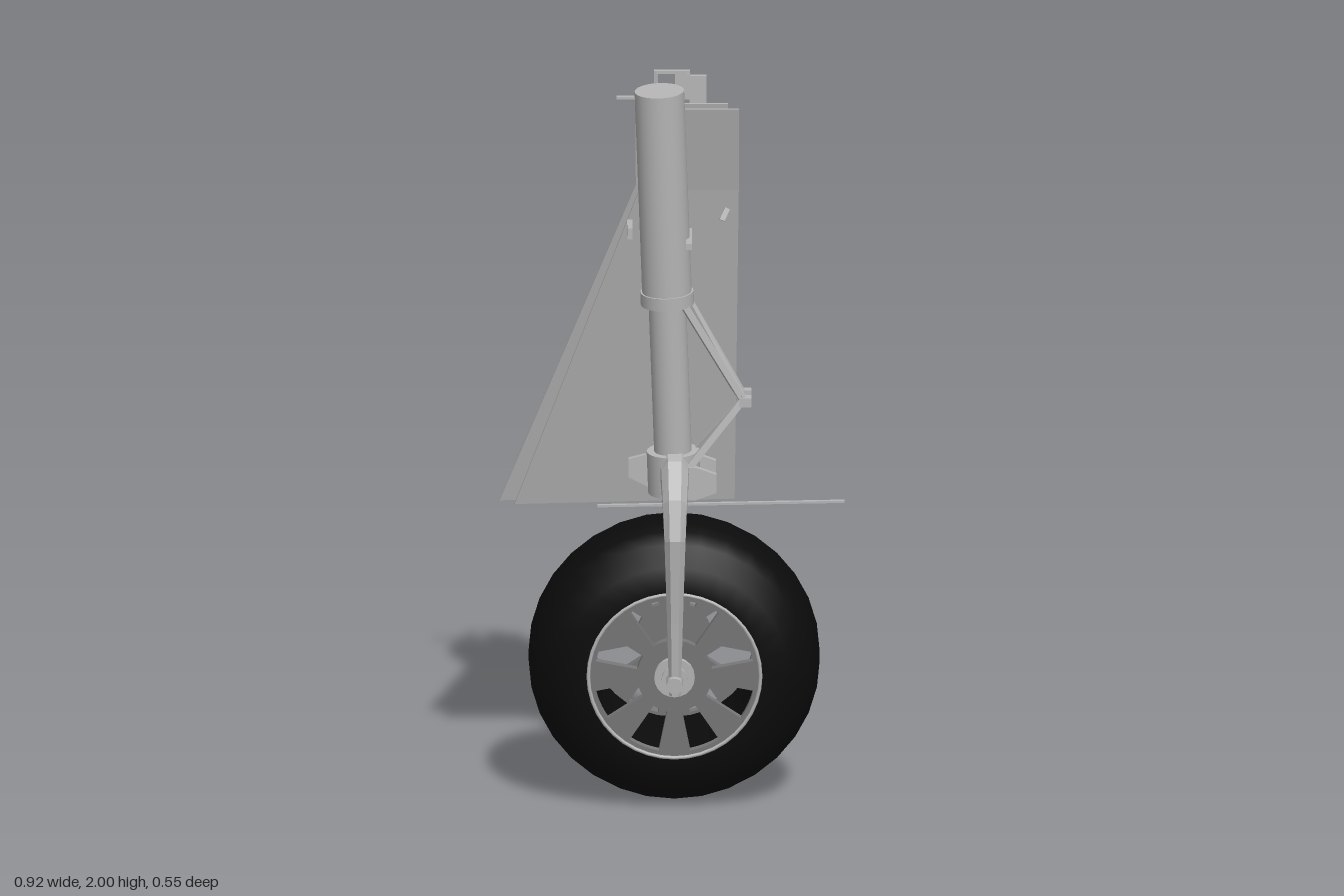
import * as THREE from 'three';

const V = (x, y, z) => new THREE.Vector3(x, y, z);
const mat = (name, color, side = THREE.FrontSide) => {
  const m = new THREE.MeshStandardMaterial({ color, side });
  m.name = name;
  return m;
};

export function createModel() {
  const metal = mat('light grey metal', 0xb6b6b6, THREE.DoubleSide);
  const spoke = mat('dark grey rim', 0x787878);
  const rubber = mat('black rubber', 0x0b0b0b, THREE.DoubleSide);
  const root = new THREE.Group();
  root.name = 'landingGear';

  const add = (name, geo, m = metal, parent = root) => {
    const mesh = new THREE.Mesh(geo, m);
    mesh.name = name;
    parent.add(mesh);
    return mesh;
  };
  const span = (mesh, a, b) => {
    mesh.position.copy(a).lerp(b, 0.5);
    mesh.quaternion.setFromUnitVectors(V(0, 1, 0), b.clone().sub(a).normalize());
    return mesh;
  };
  const rod = (name, a, b, r, r2 = r, seg = 24) =>
    span(add(name, new THREE.CylinderGeometry(r2, r, a.distanceTo(b), seg)), a, b);
  const bar = (name, a, b, w, d = w) =>
    span(add(name, new THREE.BoxGeometry(w, a.distanceTo(b), d)), a, b);
  const box = (name, w, h, d, x, y, z) =>
    add(name, new THREE.BoxGeometry(w, h, d)).position.set(x, y, z);
  const outline = pts => new THREE.Shape(pts.map(p => new THREE.Vector2(...p)));

  // Main strut, leaning slightly: axis point at a given height
  const axis = y => {
    const t = (1.985 - y) / 1.105;
    return V(-0.037 + 0.04 * t, y, 0.116 - 0.054 * t);
  };
  rod('upperStrut', axis(1.41), axis(1.985), 0.066);
  rod('lowerStrut', axis(0.88), axis(1.42), 0.05);
  rod('strutCollar', axis(1.39), axis(1.425), 0.071);
  rod('forkCollar', axis(0.865), axis(0.98), 0.07);

  // Lugs on the fork collar
  const lug = (name, pts, z) => {
    const g = new THREE.ExtrudeGeometry(outline(pts), { depth: 0.02, bevelEnabled: false });
    add(name, g).position.z = z;
  };
  lug('rearLug', [[-0.06, 0.855], [0.06, 0.855], [0.115, 0.88], [0.115, 0.93], [0.06, 0.95], [-0.06, 0.95], [-0.118, 0.935], [-0.118, 0.885]], -0.025);
  lug('frontLug', [[0, 0.86], [0.06, 0.86], [0.115, 0.88], [0.115, 0.93], [0.06, 0.95], [0, 0.95]], 0.115);

  // Small side brackets
  bar('rightBracket', V(-0.115, 1.585, 0.01), V(-0.115, 1.585, 0.098), 0.014, 0.03);
  bar('leftBracket', V(0.042, 1.57, 0.015), V(0.042, 1.57, 0.175), 0.016, 0.016);
  bar('panelCatch', V(0.13, 1.59, -0.02), V(0.145, 1.62, -0.03), 0.014);

  // Scissor links
  const knee = V(0.185, 1.125, 0.095);
  const rearKnee = V(0.185, 1.125, 0.015);
  bar('upperLink', V(0.02, 1.41, 0.125), knee, 0.018);
  bar('upperLink', V(0.03, 1.41, 0.06), knee, 0.018);
  bar('rearLink', V(0.03, 1.41, 0.035), rearKnee, 0.016);
  bar('lowerLink', V(0.04, 0.945, 0.125), knee, 0.018);
  bar('lowerLink', V(0.04, 0.945, 0.03), knee, 0.018);
  box('kneePin', 0.032, 0.024, 0.038, 0.192, 1.122, 0.093);
  box('kneePin', 0.032, 0.024, 0.03, 0.192, 1.122, 0.015);

  // Curved fork leg from chamfered sections: front yz, rear yz, half width
  const sections = [
    [0.985, 0.1, 0.87, 0.08, 0.04],
    [0.975, 0.165, 0.865, 0.13, 0.036],
    [0.89, 0.245, 0.835, 0.18, 0.032],
    [0.785, 0.277, 0.76, 0.2, 0.028],
    [0.55, 0.25, 0.55, 0.19, 0.021],
    [0.345, 0.23, 0.345, 0.18, 0.016],
  ];
  const ring = [[-0.5, 0], [0.5, 0], [1, 0.25], [1, 0.75], [0.5, 1], [-0.5, 1], [-1, 0.75], [-1, 0.25]];
  const pos = [], idx = [];
  sections.forEach(([yf, zf, yr, zr, w], i) => {
    ring.forEach(([u, t], j) => {
      pos.push(0.004 + u * w, yf + (yr - yf) * t, zf + (zr - zf) * t);
      if (i === 0) return;
      const a = (i - 1) * 8 + j, b = (i - 1) * 8 + (j + 1) % 8;
      idx.push(a, b, a + 8, b, b + 8, a + 8);
    });
  });
  const end = (sections.length - 1) * 8;
  for (let j = 1; j < 7; j++) idx.push(0, j + 1, j, end, end + j, end + j + 1);
  let fork = new THREE.BufferGeometry();
  fork.setAttribute('position', new THREE.Float32BufferAttribute(pos, 3));
  fork.setIndex(idx);
  fork = fork.toNonIndexed();
  fork.computeVertexNormals();
  add('forkLeg', fork);

  // Wheel, tilted with the strut; its axle runs along local z
  const wheel = new THREE.Group();
  wheel.name = 'wheel';
  wheel.position.set(0.003, 0.393, -0.008);
  wheel.rotation.x = 0.055;
  root.add(wheel);
  const profile = [[0.222, -0.165], [0.235, -0.173], [0.3, -0.161], [0.352, -0.122], [0.375, -0.08], [0.387, -0.04],
    [0.387, 0.04], [0.375, 0.08], [0.352, 0.122], [0.3, 0.161], [0.235, 0.173], [0.222, 0.165], [0.222, -0.165]];
  const tyre = new THREE.LatheGeometry(profile.map(p => new THREE.Vector2(...p)), 32);
  add('tyre', tyre.rotateX(Math.PI / 2), rubber, wheel);

  // Spoked discs with eight openings
  const disc = new THREE.Shape();
  disc.absarc(0, 0, 0.23, 0, Math.PI * 2);
  for (let i = 0; i < 8; i++) {
    const a = (i + 0.5) * Math.PI / 4, h = Math.PI / 16;
    const hole = new THREE.Path();
    hole.absarc(0, 0, 0.213, a - h, a + h, false);
    hole.absarc(0, 0, 0.1, a + h, a - h, true);
    hole.closePath();
    disc.holes.push(hole);
  }
  for (const s of [1, -1]) {
    const g = new THREE.ExtrudeGeometry(disc, { depth: 0.024, bevelEnabled: false, curveSegments: 24 });
    add('spokedDisc', g, spoke, wheel).position.z = s * 0.161 - 0.012;
    add('rimLip', new THREE.TorusGeometry(0.229, 0.005, 6, 40), metal, wheel).position.z = s * 0.174;
    const hub = (name, r, len, z) => {
      const c = new THREE.CylinderGeometry(r, r, len, 20).rotateX(Math.PI / 2);
      add(name, c, metal, wheel).position.z = s * z;
    };
    hub('hub', 0.054, 0.04, 0.17);
    hub('hubCap', 0.034, 0.03, 0.186);
  }
  add('axle', new THREE.CylinderGeometry(0.022, 0.022, 0.46, 16).rotateX(Math.PI / 2), metal, wheel).position.z = 0.03;

  // Door panels: thin outlines sheared so that depth follows height
  const panel = (name, pts, y0, z0, y1, z1, t) => {
    const g = new THREE.ExtrudeGeometry(outline(pts), { depth: t, bevelEnabled: false });
    const p = g.attributes.position;
    for (let i = 0; i < p.count; i++)
      p.setZ(i, p.getZ(i) + z0 + (z1 - z0) * (p.getY(i) - y0) / (y1 - y0));
    g.computeVertexNormals();
    add(name, g);
  };
  panel('outerDoor', [[-0.46, 0.75], [0.125, 0.76], [0.147, 1.91], [-0.1, 1.91], [-0.1, 1.67]],
    0.755, -0.274, 1.91, -0.032, 0.01);
  panel('innerDoor', [[-0.42, 0.755], [0.165, 0.77], [0.175, 1.67], [-0.09, 1.67]],
    0.755, -0.222, 1.67, -0.038, 0.012);
  panel('innerDoorTop', [[-0.09, 1.67], [0.175, 1.67], [0.175, 1.91], [-0.05, 1.91]],
    1.67, -0.038, 1.91, 0.024, 0.01);

  // Hinge pieces above the doors
  box('hingePlate', 0.045, 0.08, 0.012, 0.067, 1.945, -0.038);
  box('hingePlate', 0.04, 0.07, 0.012, 0.025, 1.955, -0.038);
  bar('hingeBar', V(-0.15, 1.922, -0.045), V(0.08, 1.922, -0.045), 0.006, 0.014);
  bar('hingeLoop', V(-0.045, 1.996, -0.035), V(0.045, 1.996, -0.035), 0.008, 0.014);
  bar('hingeLoop', V(-0.045, 1.92, -0.042), V(-0.045, 2, -0.035), 0.01);

  // Thin cross rod at the door foot
  bar('crossRod', V(-0.2, 0.752, -0.203), V(0.457, 0.766, -0.194), 0.006, 0.012);

  return root;
}
